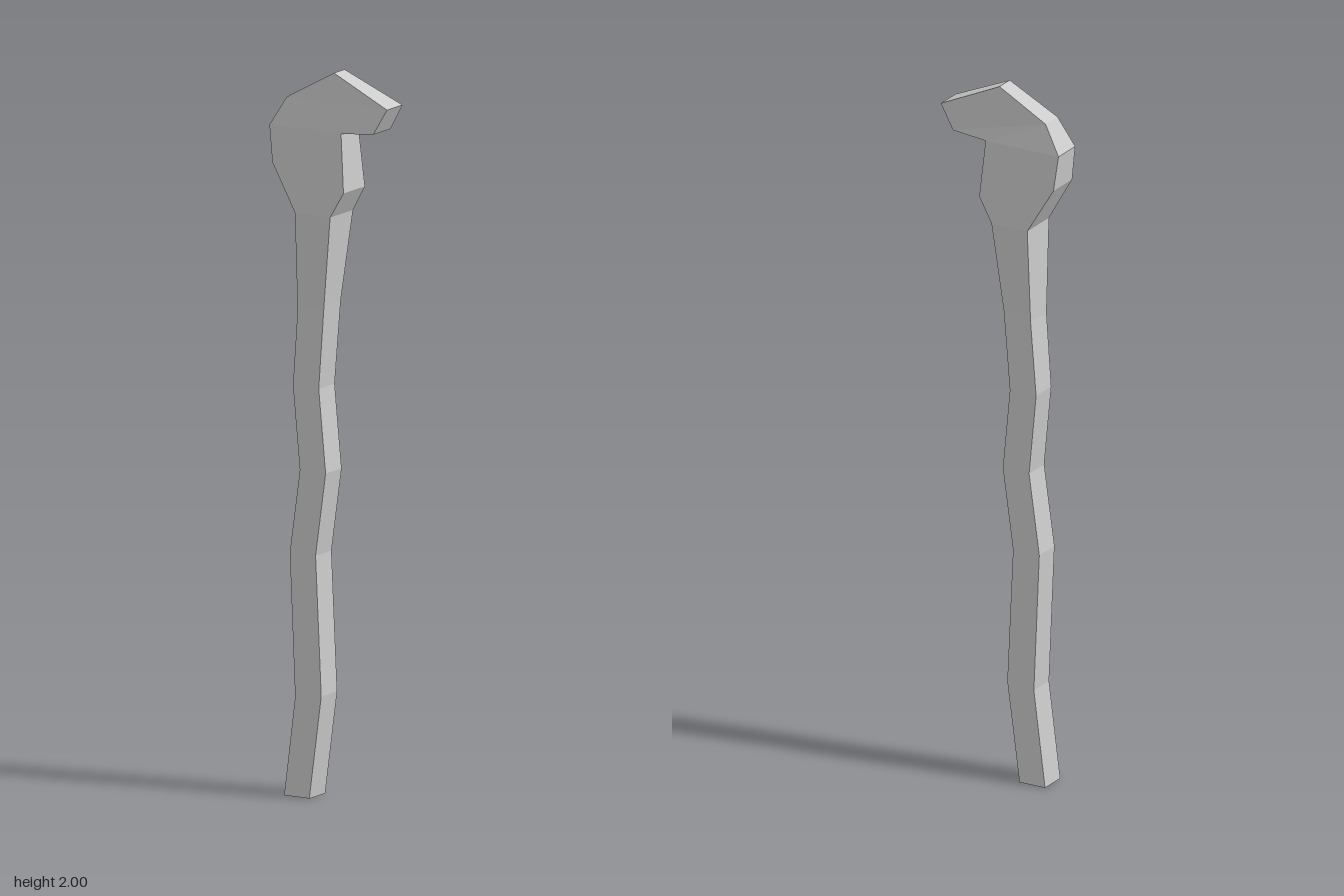
import * as THREE from 'three';

// Cross-sections from foot to beak: [left point, right point], each point [x, y, zFront, zBack]
const rungs = [
  [[-0.14, 0, 0.04, -0.04], [-0.06, 0, 0.04, -0.04]],
  [[-0.105, 0.275, 0.04, -0.04], [-0.022, 0.285, 0.04, -0.04]],
  [[-0.122, 0.67, 0.04, -0.04], [-0.04, 0.67, 0.04, -0.04]],
  [[-0.09, 0.9, 0.04, -0.04], [-0.008, 0.9, 0.04, -0.04]],
  [[-0.112, 1.13, 0.04, -0.04], [-0.03, 1.13, 0.04, -0.04]],
  [[-0.096, 1.34, 0.042, -0.042], [-0.012, 1.36, 0.042, -0.042]],
  [[-0.095, 1.61, 0.057, -0.058], [0.017, 1.61, 0.057, -0.058]],
  [[-0.172, 1.74, 0.049, -0.05], [0.057, 1.68, 0.053, -0.055]],
  [[-0.185, 1.84, 0.043, -0.045], [0.043, 1.84, 0.043, -0.045]],
  [[-0.137, 1.92, 0.031, -0.032], [0.145, 1.85, 0.042, -0.045]],
  [[0.007, 2.0, 0.022, -0.032], [0.183, 1.92, 0.033, -0.045]],
];

// Joins four-cornered rings into a closed, flat-faced skin
function loft(rings) {
  const positions = [];
  const quad = (a, b, c, d) => [a, b, c, a, c, d].forEach((p) => positions.push(...p));
  for (let i = 0; i < rings.length - 1; i++) {
    for (let j = 0; j < 4; j++) {
      const k = (j + 1) % 4;
      quad(rings[i][j], rings[i][k], rings[i + 1][k], rings[i + 1][j]);
    }
  }
  const first = rings[0], last = rings[rings.length - 1];
  quad(first[0], first[3], first[2], first[1]);
  quad(last[0], last[1], last[2], last[3]);
  const geometry = new THREE.BufferGeometry();
  geometry.setAttribute('position', new THREE.Float32BufferAttribute(positions, 3));
  geometry.computeVertexNormals();
  return geometry;
}

export function createModel() {
  const group = new THREE.Group();
  group.name = 'walkingStick';

  // Crooked shaft swelling into a hooked handle, one continuous piece
  const rings = rungs.map(([l, r]) => [
    [l[0], l[1], l[2]], [r[0], r[1], r[2]], [r[0], r[1], r[3]], [l[0], l[1], l[3]],
  ]);
  const material = new THREE.MeshStandardMaterial({ color: 0xcccccc, flatShading: true });
  const stick = new THREE.Mesh(loft(rings), material);
  stick.name = 'shaftAndHandle';
  group.add(stick);
  return group;
}
